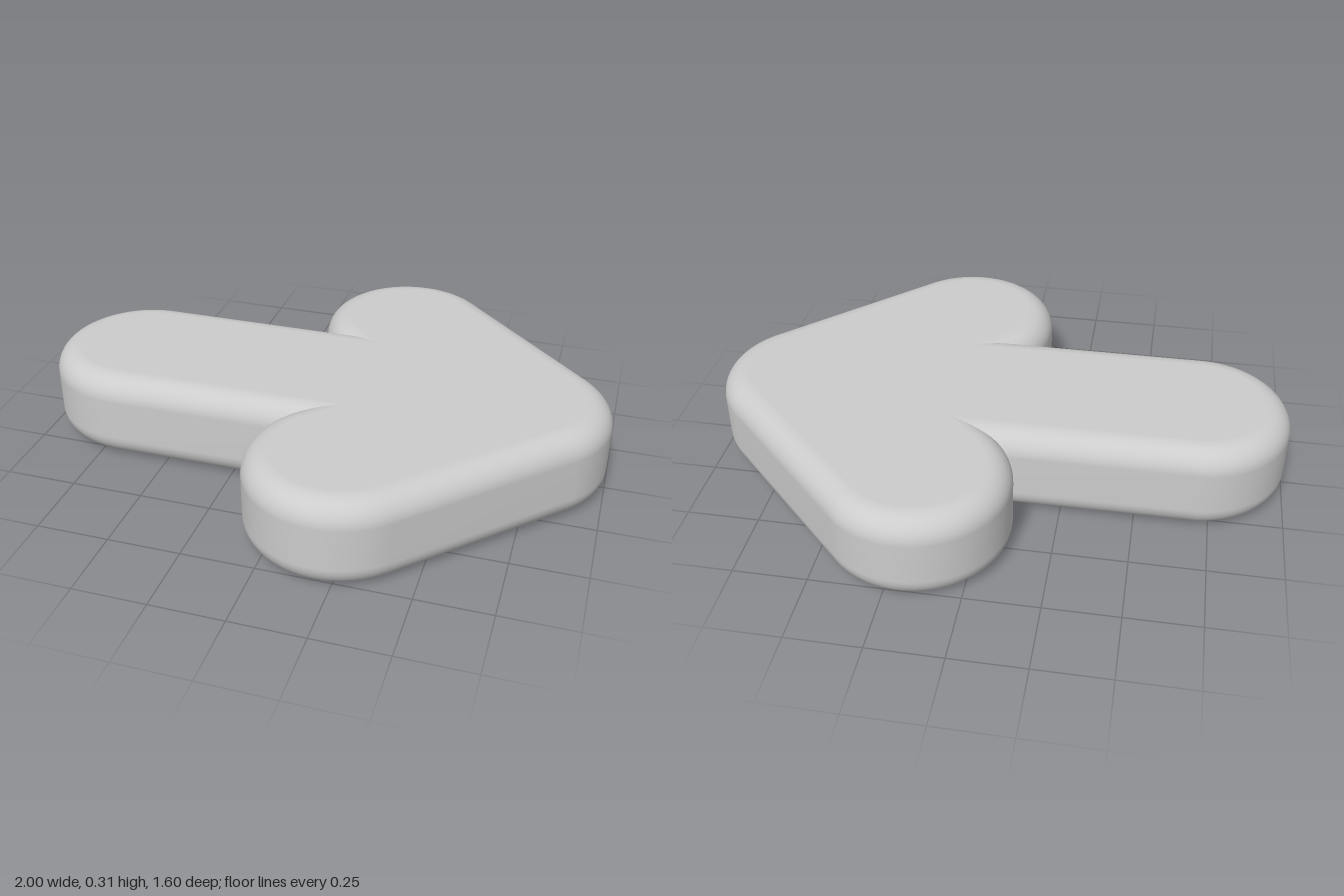
import * as THREE from 'three';

const R = 0.314, HEIGHT = 0.314, BEVEL = 0.085;
const TAIL = [-0.686, 0], LOBE = [0.198, 0.484], TIP = [0.685, 0];

function arc([cx, cz], r, from, to, steps) {
  return Array.from({ length: steps + 1 }, (_, i) => {
    const t = from + (to - from) * i / steps;
    return [cx + r * Math.cos(t), cz + r * Math.sin(t)];
  });
}

// Closed arrow outline [x, z]: rounded shaft plus two 45-degree arms, all of radius r
function outline(r) {
  const drop = LOBE[1] - r;
  let start = Math.PI * 1.25, notch;
  if (drop < r * Math.SQRT1_2) {
    // the shaft edge meets the round end of the arm
    start = Math.PI + Math.asin(drop / r);
    notch = [LOBE[0] + r * Math.cos(start), r];
  } else {
    // the shaft edge meets the straight inner edge of the arm
    const k = r * Math.SQRT1_2;
    notch = [LOBE[0] - k + (LOBE[1] - k - r), r];
  }
  const half = [
    ...arc(TAIL, r, Math.PI, Math.PI / 2, 24),
    notch, notch, // doubled for a sharp crease
    ...arc(LOBE, r, start, Math.PI / 4, 48),
    ...arc(TIP, r, Math.PI / 4, 0, 14),
  ];
  return half.concat(half.slice(1, -1).reverse().map(([x, z]) => [x, -z]));
}

// Rounded rim: outlines stacked from the bottom edge to the top edge
function rimGeometry() {
  const steps = 10, levels = [];
  for (let i = 0; i <= steps; i++) {
    const a = i / steps * Math.PI / 2;
    levels.push([R - BEVEL + BEVEL * Math.sin(a), BEVEL * (1 - Math.cos(a))]);
  }
  levels.push(...levels.slice().reverse().map(([r, y]) => [r, HEIGHT - y]));
  const positions = [], index = [];
  const n = outline(R).length;
  levels.forEach(([r, y], l) => {
    for (const [x, z] of outline(r)) positions.push(x, y, z);
    if (l === 0) return;
    for (let j = 0; j < n; j++) {
      const k = (j + 1) % n, lo = (l - 1) * n, hi = l * n;
      index.push(lo + j, lo + k, hi + k, lo + j, hi + k, hi + j);
    }
  });
  const geometry = new THREE.BufferGeometry();
  geometry.setAttribute('position', new THREE.Float32BufferAttribute(positions, 3));
  geometry.setIndex(index);
  geometry.computeVertexNormals();
  return geometry;
}

export function createModel() {
  const group = new THREE.Group();
  group.name = 'arrow';
  const material = new THREE.MeshStandardMaterial({ color: 0xcccccc });
  const add = (name, geometry, y = 0) => {
    const mesh = new THREE.Mesh(geometry, material);
    mesh.name = name;
    mesh.position.y = y;
    group.add(mesh);
  };

  add('roundedRim', rimGeometry());

  // Flat faces inside the rounded rim
  const face = new THREE.Shape(outline(R - BEVEL).map(([x, z]) => new THREE.Vector2(x, -z)));
  add('topFace', new THREE.ShapeGeometry(face).rotateX(-Math.PI / 2), HEIGHT);
  add('bottomFace', new THREE.ShapeGeometry(face).rotateX(Math.PI / 2));
  return group;
}
